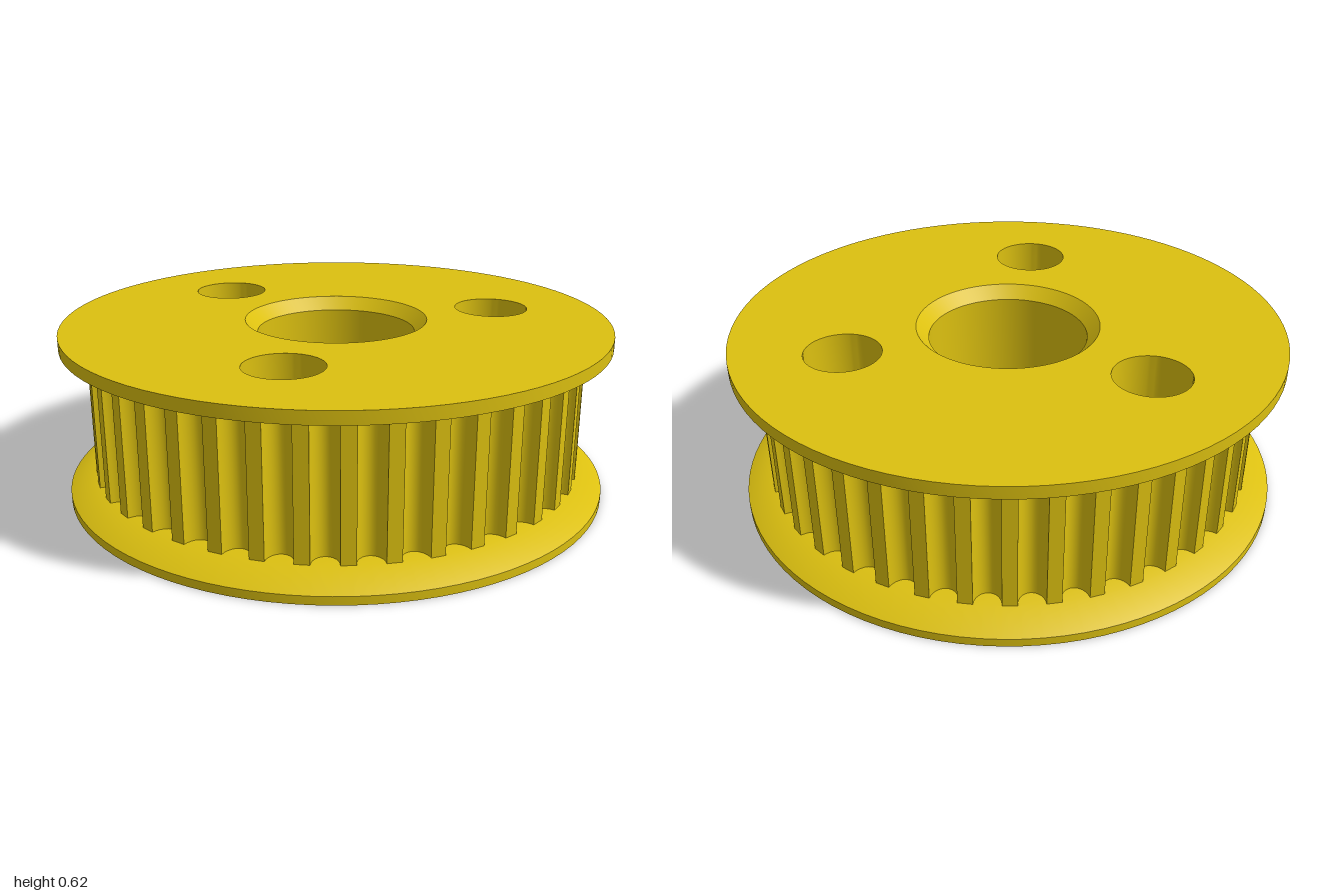
import * as THREE from 'three';
import { toCreasedNormals } from 'three/addons/utils/BufferGeometryUtils.js';

const SEG = 96;
const TEETH = 40;
const HEIGHT = 0.615;
const BORE = 0.29, CHAMFER = 0.045;
const BELT_R = 0.905, BELT_BOTTOM = 0.08, BELT_TOP = 0.57;
const SCREW_R = 0.08, COUNTERBORE_R = 0.137, COUNTERBORE_Y = HEIGHT - 0.17;
const SCREW_CIRCLE = 0.614;

// screw positions [x, z]: one in front, two behind
const screws = [0, 1, 2].map((i) => {
  const a = (i * Math.PI * 2) / 3;
  return [SCREW_CIRCLE * Math.sin(a), SCREW_CIRCLE * Math.cos(a)];
});

export function createModel() {
  const group = new THREE.Group();
  const yellow = new THREE.MeshStandardMaterial({ color: 0xdcc010 });
  yellow.name = 'yellow';

  const add = (name, geometry, x = 0, y = 0, z = 0) => {
    const mesh = new THREE.Mesh(geometry, yellow);
    mesh.name = name;
    mesh.position.set(x, y, z);
    group.add(mesh);
  };

  // outer profiles run upward, bores run downward
  const lathe = (points) => toCreasedNormals(
    new THREE.LatheGeometry(points.map(([r, y]) => new THREE.Vector2(r, y)), SEG), 0.5);

  // cut the bore and screw holes; zSign maps shape y to model z
  const cutHoles = (shape, boreR, screwR, zSign) => {
    const cut = (x, y, r) =>
      shape.holes.push(new THREE.Path().absarc(x, y, r, 0, Math.PI * 2, true));
    cut(0, 0, boreR);
    screws.forEach(([x, z]) => cut(x, zSign * z, screwR));
    return shape;
  };
  const disc = () => new THREE.Shape().absarc(0, 0, 1, 0, Math.PI * 2, false);

  // flange rims
  add('bottomFlange', lathe([[1, 0], [1, 0.03], [BELT_R, BELT_BOTTOM], [0.8, BELT_BOTTOM]]));
  add('topFlange', lathe([[0.8, BELT_TOP], [1, BELT_TOP], [1, HEIGHT]]));

  // flat end faces
  const top = new THREE.ShapeGeometry(
    cutHoles(disc(), BORE + CHAMFER, COUNTERBORE_R, -1), SEG / 2);
  add('topFace', top.rotateX(-Math.PI / 2), 0, HEIGHT, 0);
  const bottom = new THREE.ShapeGeometry(
    cutHoles(disc(), BORE + CHAMFER, SCREW_R, 1), SEG / 2);
  add('bottomFace', bottom.rotateX(Math.PI / 2));

  // chamfered centre bore
  add('centreBore', lathe([
    [BORE + CHAMFER, HEIGHT], [BORE, HEIGHT - CHAMFER],
    [BORE, CHAMFER], [BORE + CHAMFER, 0],
  ]));

  // counterbored screw holes
  const screwHole = lathe([
    [COUNTERBORE_R, HEIGHT], [COUNTERBORE_R, COUNTERBORE_Y],
    [SCREW_R, COUNTERBORE_Y], [SCREW_R, 0],
  ]);
  screws.forEach(([x, z], i) => add('screwHole' + (i + 1), screwHole, x, 0, z));

  // toothed belt drum with rounded grooves
  const outline = [];
  const halfWidth = 0.046, depth = 0.058, steps = 12;
  for (let i = 0; i < TEETH; i++) {
    const a = ((i + 0.5) * Math.PI * 2) / TEETH;
    for (let j = 0; j <= steps; j++) {
      const t = (j / steps) * Math.PI;
      const r = BELT_R - depth * Math.sin(t);
      const b = a - (halfWidth / r) * Math.cos(t);
      outline.push(new THREE.Vector2(r * Math.cos(b), r * Math.sin(b)));
    }
  }
  // the drum's ends sit inside the flanges
  const drum = new THREE.ExtrudeGeometry(
    cutHoles(new THREE.Shape(outline), BORE + CHAMFER + 0.01, COUNTERBORE_R + 0.01, -1),
    { depth: BELT_TOP - BELT_BOTTOM + 0.02, bevelEnabled: false, curveSegments: 24 });
  drum.rotateX(-Math.PI / 2);
  add('toothedDrum', toCreasedNormals(drum, 0.6), 0, BELT_BOTTOM - 0.01, 0);

  return group;
}
